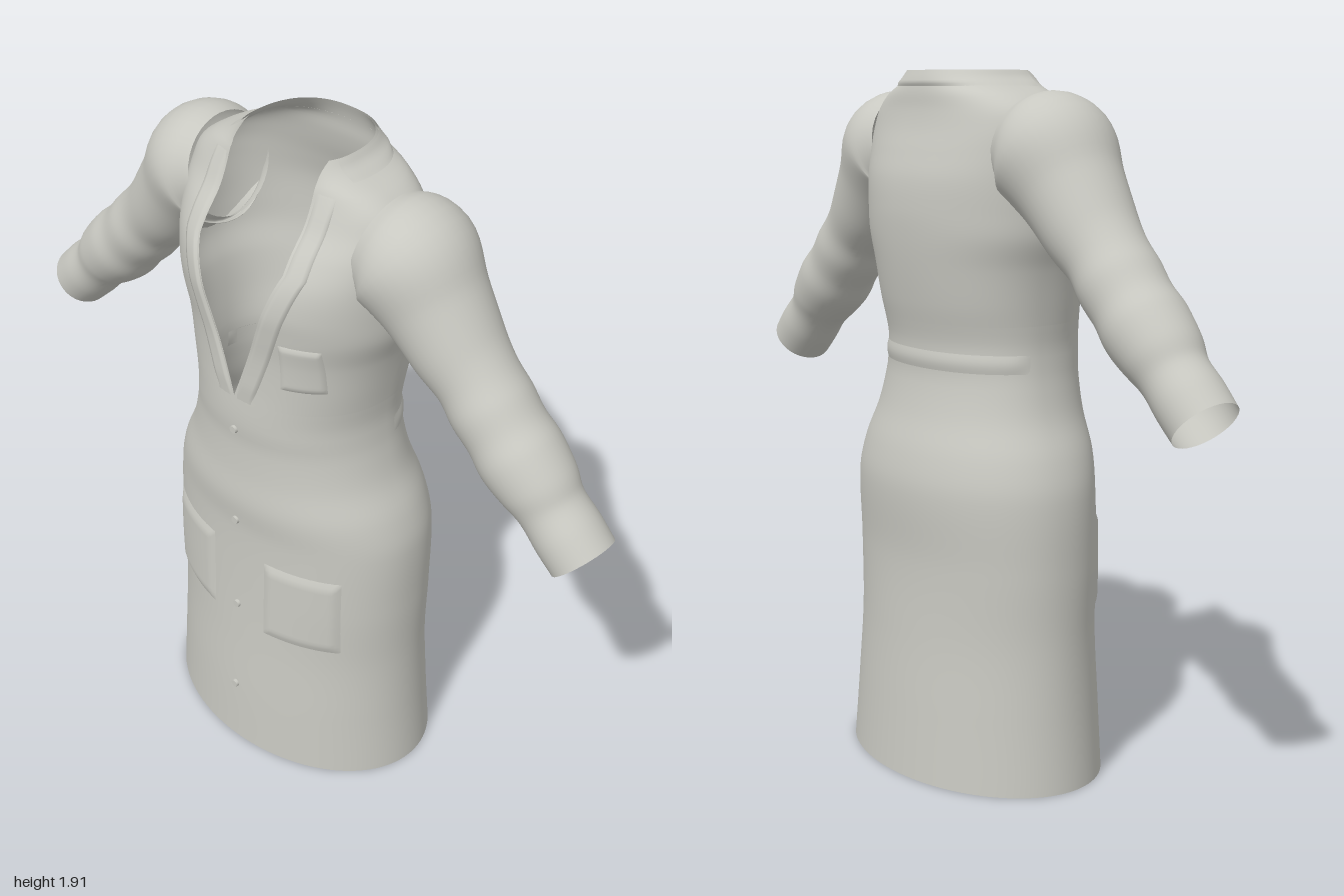
import * as THREE from 'three';
import { mergeVertices } from 'three/addons/utils/BufferGeometryUtils.js';

// Torso sections: y, half width, front depth, back depth, roundness exponent
const SECTIONS = [
  [0, 0.435, 0.302, 0.302, 2], [0.2, 0.42, 0.294, 0.287, 2], [0.4, 0.411, 0.282, 0.272, 2],
  [0.6, 0.412, 0.273, 0.264, 2.1], [0.8, 0.405, 0.27, 0.274, 2.1], [0.9, 0.378, 0.277, 0.258, 2.1],
  [1.0, 0.332, 0.268, 0.226, 2.1], [1.1, 0.306, 0.264, 0.204, 2.1], [1.15, 0.299, 0.268, 0.203, 2.1],
  [1.2, 0.296, 0.268, 0.204, 2.1], [1.3, 0.306, 0.262, 0.223, 2.2], [1.4, 0.322, 0.262, 0.238, 2.2],
  [1.48, 0.345, 0.269, 0.246, 2.2], [1.55, 0.35, 0.274, 0.248, 2.2], [1.63, 0.35, 0.257, 0.241, 2.3],
  [1.7, 0.35, 0.215, 0.222, 2.4], [1.76, 0.345, 0.165, 0.203, 2.5], [1.81, 0.325, 0.14, 0.192, 2.5],
  [1.85, 0.27, 0.13, 0.188, 2.5], [1.87, 0.215, 0.13, 0.184, 2.5], [1.89, 0.178, 0.135, 0.178, 2.5],
  [1.91, 0.16, 0.13, 0.17, 2.4],
];
const V_BOTTOM = 1.25, V_TOP = 1.66, TOP = 1.91, V_HALF = 0.145;

// Smooth interpolation through a table whose first column is the parameter
function sample(table, t) {
  const last = table.length - 1;
  let i = 0;
  while (i < last - 1 && t > table[i + 1][0]) i++;
  const h = table[i + 1][0] - table[i][0];
  const u = THREE.MathUtils.clamp((t - table[i][0]) / h, 0, 1);
  const slope = (k, c) => {
    const a = table[Math.max(k - 1, 0)], b = table[Math.min(k + 1, last)];
    return (b[c] - a[c]) / (b[0] - a[0]);
  };
  return table[i].slice(1).map((p, k) => {
    const q = table[i + 1][k + 1], m0 = slope(i, k + 1) * h, m1 = slope(i + 1, k + 1) * h;
    return p + u * (m0 + u * (3 * (q - p) - 2 * m0 - m1 + u * (m0 + m1 - 2 * (q - p))));
  });
}

// Point on the torso at height y and angle a (0 = front, positive toward +x)
function torsoPoint(y, a, offset = 0) {
  const [w, front, back, n] = sample(SECTIONS, y);
  const s = Math.sin(a), c = Math.cos(a), p = 2 / n;
  return [
    (w + offset) * Math.sign(s) * Math.abs(s) ** p,
    y,
    ((c > 0 ? front : back) + offset) * Math.sign(c) * Math.abs(c) ** p,
  ];
}

// Angle on the front of the torso that lies at a given x
function angleAt(y, x) {
  const [w, , , n] = sample(SECTIONS, y);
  return Math.sign(x) * Math.asin(Math.min(1, Math.abs(x) / w) ** (n / 2));
}

// Half width of the V neck
const neckHalf = (y) => V_HALF * THREE.MathUtils.clamp((y - V_BOTTOM) / (V_TOP - V_BOTTOM), 0, 1);

// Smooth surface from a grid of points, u and v in 0..1
function grid(nu, nv, fn) {
  const pos = [], index = [];
  for (let j = 0; j <= nv; j++)
    for (let i = 0; i <= nu; i++) pos.push(...fn(i / nu, j / nv));
  for (let j = 0; j < nv; j++)
    for (let i = 0; i < nu; i++) {
      const a = j * (nu + 1) + i, b = a + 1, c = a + nu + 1, d = c + 1;
      index.push(a, b, d, a, d, c);
    }
  let g = new THREE.BufferGeometry();
  g.setAttribute('position', new THREE.Float32BufferAttribute(pos, 3));
  g.setIndex(index);
  g = mergeVertices(g, 1e-5);
  g.computeVertexNormals();
  return g;
}

// Raised cloth height: sunk at the borders, level in the middle
const puff = (u, v, h) => -0.003 + (h + 0.003) * Math.min(1, 9 * Math.min(u, 1 - u, v, 1 - v));

// Sleeve stations: parameter, centre x, centre y, radius
const SLEEVE = [
  [0, 0.28, 1.712, 0.14], [1, 0.355, 1.69, 0.166], [2, 0.435, 1.603, 0.138], [3, 0.51, 1.513, 0.121],
  [4, 0.575, 1.448, 0.107], [5, 0.625, 1.392, 0.11], [6, 0.675, 1.34, 0.106], [7, 0.725, 1.29, 0.111],
  [8, 0.785, 1.235, 0.102], [9, 0.83, 1.187, 0.088], [10, 0.885, 1.135, 0.09], [11, 0.937, 1.085, 0.088],
];

function sleeveGeometry(side) {
  return grid(36, 66, (u, v) => {
    const t = v * 11;
    const [x, y, r] = sample(SLEEVE, t);
    const [x0, y0] = sample(SLEEVE, Math.max(0, t - 0.3));
    const [x1, y1] = sample(SLEEVE, Math.min(11, t + 0.3));
    const len = Math.hypot(x1 - x0, y1 - y0);
    const a = u * Math.PI * 2 * side, k = r * Math.cos(a);
    return [side * (x - (k * (y1 - y0)) / len), y + (k * (x1 - x0)) / len, r * Math.sin(a) * 1.03 - 0.008];
  });
}

export function createModel() {
  const group = new THREE.Group();
  const cloth = new THREE.MeshStandardMaterial({ color: 0xc8c8c1, side: THREE.DoubleSide });
  cloth.name = 'pale grey cloth';
  const add = (name, geometry) => {
    const mesh = new THREE.Mesh(geometry, cloth);
    mesh.name = name;
    group.add(mesh);
    return mesh;
  };

  // Skirt and waist, closed all round
  add('skirt', grid(96, 60, (u, v) => torsoPoint(v * V_BOTTOM, u * Math.PI * 2)));

  // Bodice, open along the V neck
  add('bodice', grid(96, 66, (u, v) => {
    const y = V_BOTTOM + v * (TOP - V_BOTTOM), a0 = angleAt(y, neckHalf(y));
    return torsoPoint(y, a0 + u * 2 * (Math.PI - a0));
  }));

  // Back waist seam
  add('waistSeam', grid(48, 6, (u, v) =>
    torsoPoint(1.125 + v * 0.05, Math.PI * (0.5 + u), puff(u, 0.5, 0.004) * Math.sin(v * Math.PI))));

  // Collar band around the back of the neck
  add('collar', grid(48, 8, (u, v) =>
    torsoPoint(1.868 + v * 0.042, Math.PI * (0.4 + 1.2 * u), 0.007 * Math.min(1, v * 4))));

  for (const side of [1, -1]) {
    const prefix = side > 0 ? 'left' : 'right';
    add(prefix + 'Sleeve', sleeveGeometry(side));

    // Lapel following the neck edge
    add(prefix + 'Lapel', grid(8, 40, (u, v) => {
      const y = 1.22 + v * 0.65, k = side > 0 ? u : 1 - u;
      const x = neckHalf(y) + 0.004 + k * 0.06;
      return torsoPoint(y, side * angleAt(y, x), puff(u, v, 0.006));
    }));

    // Hip pocket
    add(prefix + 'Pocket', grid(24, 24, (u, v) => {
      const y = 0.455 + v * 0.275;
      return torsoPoint(y, angleAt(y, side * 0.205 + (u - 0.5) * 0.23), puff(u, v, 0.008));
    }));
  }

  // Single chest pocket
  add('chestPocket', grid(20, 20, (u, v) => {
    const y = 1.32 + v * 0.15;
    return torsoPoint(y, angleAt(y, 0.14 + u * 0.11), puff(u, v, 0.006));
  }));

  // Buttons down the front
  for (const y of [1.14, 0.83, 0.52, 0.21]) {
    const button = add('button', new THREE.CylinderGeometry(0.011, 0.012, 0.01, 16));
    button.rotation.x = Math.PI / 2;
    button.position.set(0, y, torsoPoint(y, 0)[2] + 0.003);
  }
  return group;
}
